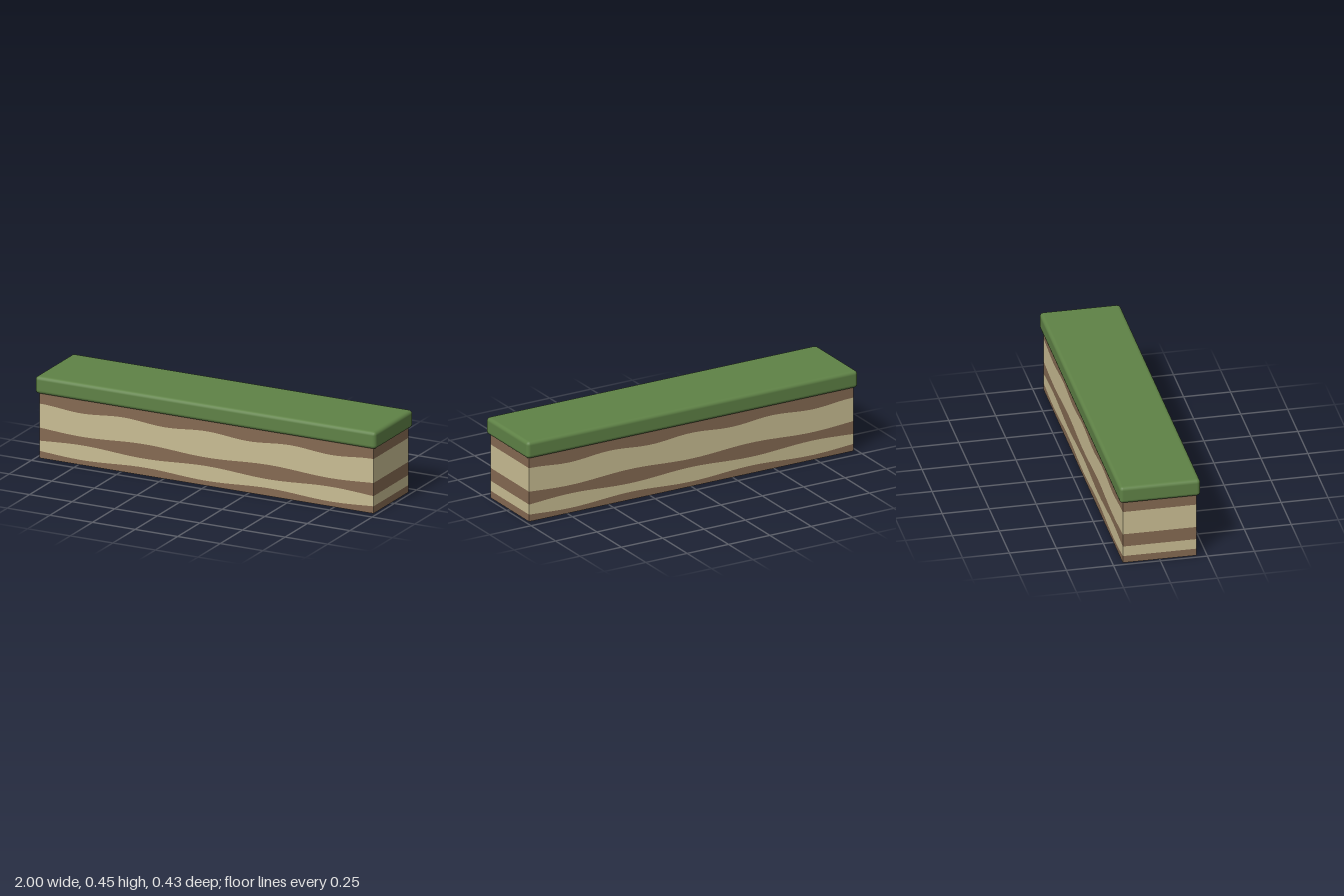
import * as THREE from 'three';
import { RoundedBoxGeometry } from 'three/addons/geometries/RoundedBoxGeometry.js';

const HALF_X = 0.98, HALF_Z = 0.196;

function material(name, color) {
  const m = new THREE.MeshStandardMaterial({ color });
  m.name = name;
  return m;
}

// A wavy horizontal boundary between two soil layers
const wave = (mid, amp, period) => (x) => mid + amp * Math.cos((2 * Math.PI * x) / period);

// Perimeter of the block, counter-clockwise seen from above
function perimeter(steps) {
  const pts = [];
  for (let i = 0; i <= steps; i++) pts.push([-HALF_X + (2 * HALF_X * i) / steps, HALF_Z]);
  for (let i = 0; i <= steps; i++) pts.push([HALF_X - (2 * HALF_X * i) / steps, -HALF_Z]);
  return pts;
}

// Wall strip running round the block between two boundaries
function layerGeometry(lower, upper) {
  const pts = perimeter(80), pos = [];
  pts.forEach(([x0, z0], i) => {
    const [x1, z1] = pts[(i + 1) % pts.length];
    const a = [x0, lower(x0), z0], b = [x1, lower(x1), z1];
    const c = [x1, upper(x1), z1], d = [x0, upper(x0), z0];
    pos.push(...a, ...b, ...c, ...a, ...c, ...d);
  });
  const g = new THREE.BufferGeometry();
  g.setAttribute('position', new THREE.Float32BufferAttribute(pos, 3));
  g.computeVertexNormals();
  return g;
}

export function createModel() {
  const model = new THREE.Group();
  model.name = 'grassyGroundBlock';
  const grass = material('grass green', 0x5f8246);
  const soil = material('soil brown', 0x856a52);
  const sand = material('sand tan', 0xc9bd93);

  const add = (name, geometry, mat) => {
    const mesh = new THREE.Mesh(geometry, mat);
    mesh.name = name;
    model.add(mesh);
    return mesh;
  };

  // Alternating soil and sand layers, bottom to top
  const edges = [
    () => 0,
    wave(0.035, -0.008, 0.73),
    wave(0.1, 0.008, 0.73),
    wave(0.163, -0.008, 0.73),
    wave(0.291, 0.008, 0.49),
    () => 0.365,
  ];
  const names = ['bottomSoil', 'lowerSand', 'middleSoil', 'upperSand', 'topSoil'];
  names.forEach((name, i) => add(name, layerGeometry(edges[i], edges[i + 1]), i % 2 ? sand : soil));

  // Underside
  const base = add('underside', new THREE.PlaneGeometry(2 * HALF_X, 2 * HALF_Z), soil);
  base.rotation.x = Math.PI / 2;

  // Overhanging grass slab with rounded edges
  const cap = add('grassTop', new RoundedBoxGeometry(2, 0.095, 0.43, 2, 0.02), grass);
  cap.position.y = 0.404;

  return model;
}
